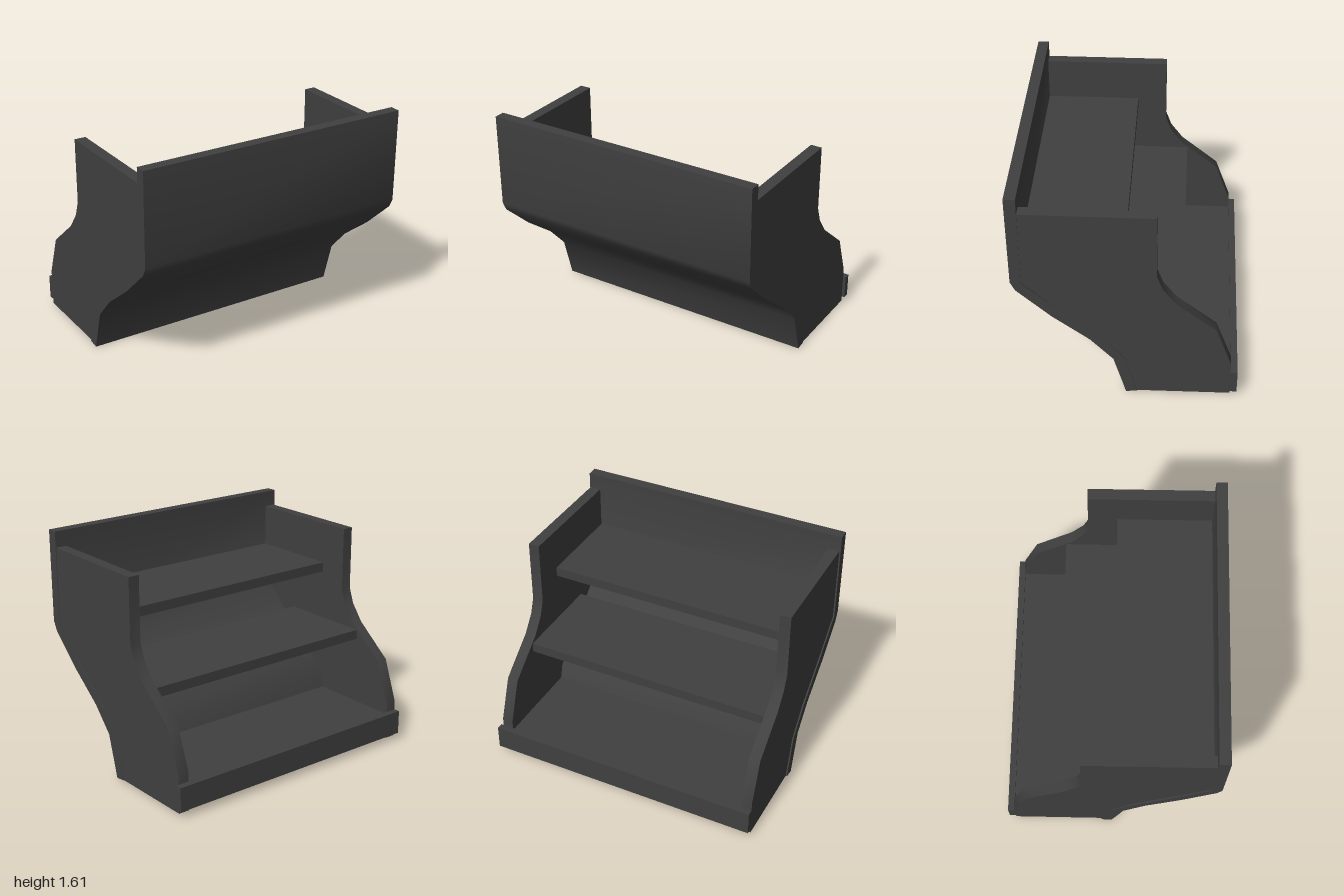
import * as THREE from 'three';
import { toCreasedNormals } from 'three/addons/utils/BufferGeometryUtils.js';

// Profiles are [z, y] pairs
const innerCurve = [[-0.075, 0.015], [0.005, 0.31], [0.163, 0.497], [0.42, 0.71], [0.68, 0.945]];
const outerCurve = [[0.757, 1.615], [0.752, 0.95], [0.72, 0.885], [0.49, 0.67], [0.24, 0.475], [0.085, 0.305], [0, 0.005]];
const stepCurve = [[-0.2, 1.5], [-0.2, 1.04], [-0.24, 0.93], [-0.33, 0.81], [-0.6, 0.59], [-0.71, 0.29], [-0.71, 0.02]];

// Extrudes a z-y profile between two x positions
function slab(name, profile, xMin, xMax, material) {
  const shape = new THREE.Shape(profile.map(([z, y]) => new THREE.Vector2(z, y)));
  const geometry = new THREE.ExtrudeGeometry(shape, { depth: xMax - xMin, bevelEnabled: false });
  geometry.rotateY(-Math.PI / 2);
  geometry.translate(xMax, 0, 0);
  const mesh = new THREE.Mesh(toCreasedNormals(geometry, 0.85), material);
  mesh.name = name;
  return mesh;
}

// Box given by its limits on each axis
function board(name, [x0, x1], [y0, y1], [z0, z1], material) {
  const mesh = new THREE.Mesh(new THREE.BoxGeometry(x1 - x0, y1 - y0, z1 - z0), material);
  mesh.position.set((x0 + x1) / 2, (y0 + y1) / 2, (z0 + z1) / 2);
  mesh.name = name;
  return mesh;
}

export function createModel() {
  const group = new THREE.Group();
  group.name = 'steppedStand';
  const charcoal = new THREE.MeshStandardMaterial({ color: 0x404040 });
  charcoal.name = 'charcoal';

  // Curved front panel
  group.add(slab('frontPanel', [...innerCurve, [0.68, 1.615], ...outerCurve], -1, 0.985, charcoal));

  // Side panels follow the inside of the front panel
  const sideProfile = [...innerCurve, [0.68, 1.5], ...stepCurve];
  group.add(slab('rightSide', sideProfile, -0.99, -0.91, charcoal));
  group.add(slab('leftSide', sideProfile, 0.9, 0.98, charcoal));

  // Three shelves of equal depth, the lowest one being the floor
  const shelves = [['floor', 0.21, -0.71, -0.015], ['middleShelf', 0.77, -0.37, 0.33], ['topShelf', 1.2, 0.01, 0.7]];
  for (const [name, top, back, front] of shelves) {
    group.add(board(name, [-0.91, 0.9], [top - 0.07, top], [back, front], charcoal));
  }

  // Lip along the back of the floor
  group.add(board('backLip', [-0.99, 1], [0.055, 0.228], [-0.757, -0.71], charcoal));
  return group;
}
